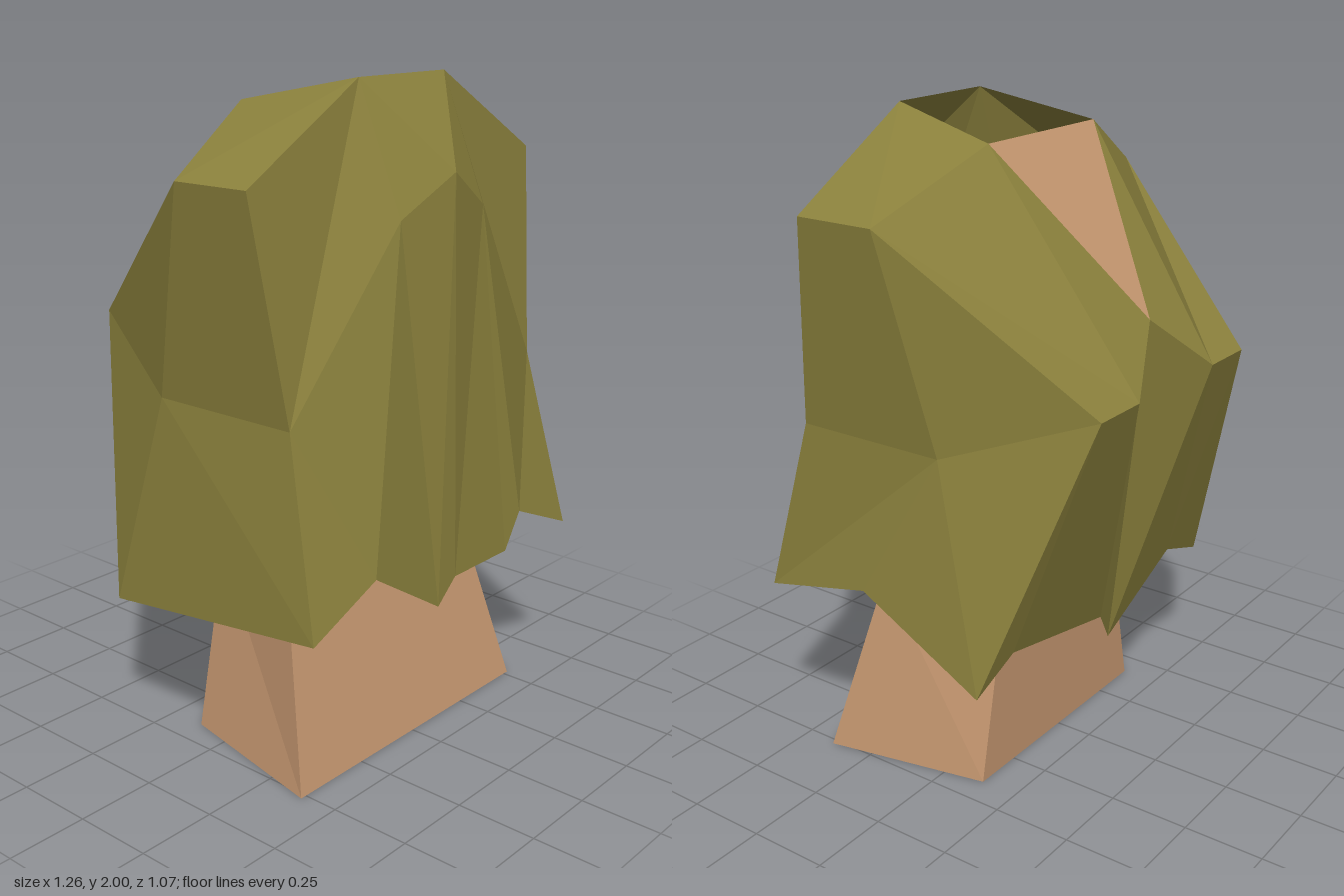
import * as THREE from 'three';

// Joins an upper and a lower row of points, both running left to right as seen
// from outside. Each step moves on along the upper (u) or lower (l) row.
function lace(out, upper, lower, steps) {
  let i = 0, j = 0;
  for (const step of steps) {
    const next = step === 'u' ? upper[i + 1] : lower[j + 1];
    out.push(...upper[i], ...lower[j], ...next);
    if (step === 'u') i++; else j++;
  }
}

function facetedMesh(name, coords, color) {
  const geometry = new THREE.BufferGeometry();
  geometry.setAttribute('position', new THREE.Float32BufferAttribute(coords, 3));
  geometry.computeVertexNormals();
  const material = new THREE.MeshStandardMaterial({ color, flatShading: true, side: THREE.DoubleSide });
  const mesh = new THREE.Mesh(geometry, material);
  mesh.name = name;
  return mesh;
}

// Hair points that exist on both sides (s = 1 left, -1 right)
const sidePoints = (s) => ({
  crownFront: [0.19 * s, 2.0, 0.31],
  crownBack: [0.26 * s, 1.925, -0.06],
  templeFront: [0.63 * s, 1.745, 0.31],
  templeBack: [0.63 * s, 1.745, 0.05],
  fringe: [0.19 * s, 1.63, 0.46],
  cheekFront: [0.56 * s, 1.11, 0.39],
  cheekBack: [0.56 * s, 1.11, -0.1],
});

export function createModel() {
  const group = new THREE.Group();
  const hairColor = 0x8a803c, skinColor = 0xc4966f;
  const L = sidePoints(1), R = sidePoints(-1);
  const parting = [0, 1.745, 0.5];

  // Ridge around the back of the head, from left to right
  const ridge = [[0.41, 1.265, -0.535], [0.22, 1.265, -0.535], [0, 1.43, -0.43],
    [-0.19, 1.265, -0.535], [-0.37, 1.265, -0.535]];
  // Ragged hems
  const frontHem = [[-0.63, 0.56, 0.535], [-0.37, 0.67, 0.535], [-0.08, 0.49, 0.535], [0, 0.56, 0.535],
    [0.26, 0.56, 0.535], [0.33, 0.67, 0.535], [0.59, 0.56, 0.535]];
  const backHem = [[0.63, 0.45, -0.28], [0.51, 0.56, -0.32], [0, 0.44, -0.285],
    [-0.11, 0.31, -0.245], [-0.36, 0.54, -0.31], [-0.595, 0.45, -0.28]];
  const [backLeft, grooveLeft, groove, grooveRight, backRight] = ridge;

  // Front hair, from crown to fringe to hem
  const front = [];
  const brow = [R.cheekFront, R.fringe, parting, L.fringe, L.cheekFront];
  lace(front, [R.templeFront, R.crownFront, L.crownFront, L.templeFront], brow, 'ullullu');
  lace(front, brow, frontHem, 'lululullul'.replace(' ', ''));
  group.add(facetedMesh('frontHair', front, hairColor));

  // Left side
  const left = [];
  lace(left, [L.templeFront, L.templeBack, backLeft], [L.cheekFront, L.cheekBack], 'luu');
  lace(left, [L.cheekFront, L.cheekBack, backLeft], [frontHem[6], [0.63, 0.67, 0.13], backHem[0]], 'ullu');
  group.add(facetedMesh('leftHair', left, hairColor));

  // Right side
  const right = [];
  lace(right, [backRight, R.templeBack, R.templeFront], [R.cheekBack, R.cheekFront], 'uul');
  lace(right, [backRight, R.cheekBack, R.cheekFront], [backHem[5], frontHem[0]], 'ulu');
  group.add(facetedMesh('rightHair', right, hairColor));

  // Back hair hanging from the ridge
  const back = [];
  lace(back, ridge, backHem, 'lulululul');
  group.add(facetedMesh('backHair', back, hairColor));

  // Crown hair on both sides of the open top
  const crown = [];
  lace(crown, [L.crownFront, L.crownBack], [L.templeFront, L.templeBack, grooveLeft, groove], 'lull');
  lace(crown, [L.templeBack], [backLeft, grooveLeft], 'l');
  lace(crown, [R.crownBack, R.crownFront], [groove, grooveRight, R.templeBack, R.templeFront], 'llul');
  lace(crown, [R.templeBack], [grooveRight, backRight], 'l');
  group.add(facetedMesh('crownHair', crown, hairColor));

  // Bare patch at the back of the crown
  const scalp = [];
  lace(scalp, [L.crownBack, R.crownBack], [groove], 'u');
  group.add(facetedMesh('scalp', scalp, skinColor));

  // Neck: a tapered tube, open at both ends
  const neck = [];
  const ring = (wFront, wBack, yFront, yBack, zFront) => [[-wFront, yFront, zFront], [wFront, yFront, zFront],
    [wBack, yBack, -0.13], [-wBack, yBack, -0.13], [-wFront, yFront, zFront]];
  lace(neck, ring(0.41, 0.3, 0.595, 0.555, 0.24), ring(0.52, 0.41, 0, 0, 0.39), 'lulululu');
  group.add(facetedMesh('neck', neck, skinColor));

  return group;
}
